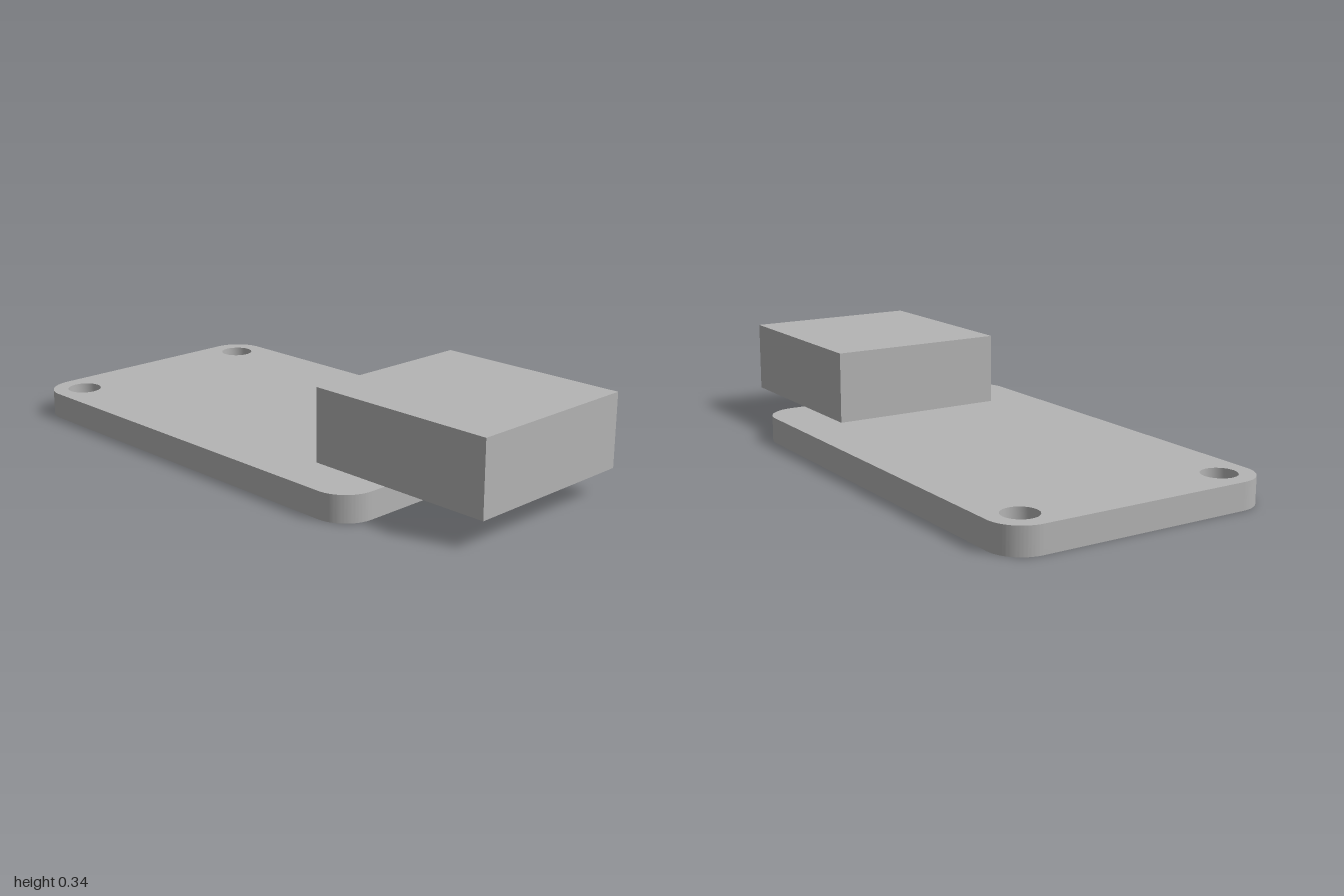
import * as THREE from 'three';
import { toCreasedNormals } from 'three/addons/utils/BufferGeometryUtils.js';

const BOARD = { x0: -1, x1: 0.615, z: 0.49, height: 0.092, radius: 0.115 };
const HOLE = { x: -0.885, z: 0.376, radius: 0.06 };
const CONNECTOR = { x0: 0.315, x1: 1, z: 0.319, top: 0.343 };

// Rounded rectangle outline with two mounting holes
function boardShape() {
  const { x0, x1, z, radius: r } = BOARD;
  const shape = new THREE.Shape();
  shape.absarc(x1 - r, z - r, r, 0, Math.PI / 2);
  shape.absarc(x0 + r, z - r, r, Math.PI / 2, Math.PI);
  shape.absarc(x0 + r, r - z, r, Math.PI, Math.PI * 1.5);
  shape.absarc(x1 - r, r - z, r, Math.PI * 1.5, Math.PI * 2);
  shape.closePath();
  for (const side of [-1, 1]) {
    const hole = new THREE.Path();
    hole.absarc(HOLE.x, side * HOLE.z, HOLE.radius, 0, Math.PI * 2, true);
    shape.holes.push(hole);
  }
  return shape;
}

export function createModel() {
  const model = new THREE.Group();
  model.name = 'circuitBoardWithConnector';
  const grey = new THREE.MeshStandardMaterial({ color: 0xb4b4b4 });
  grey.name = 'grey';

  // Flat board with rounded corners, laid down on y = 0
  const plate = new THREE.ExtrudeGeometry(boardShape(), {
    depth: BOARD.height, bevelEnabled: false, curveSegments: 16,
  });
  plate.rotateX(-Math.PI / 2);
  const board = new THREE.Mesh(toCreasedNormals(plate, 0.6), grey);
  board.name = 'board';
  model.add(board);

  // Connector block overhanging the end of the board
  const { x0, x1, z, top } = CONNECTOR;
  const block = new THREE.BoxGeometry(x1 - x0, top - BOARD.height, z * 2);
  const connector = new THREE.Mesh(block, grey);
  connector.name = 'connector';
  connector.position.set((x0 + x1) / 2, (BOARD.height + top) / 2, 0);
  model.add(connector);

  return model;
}
